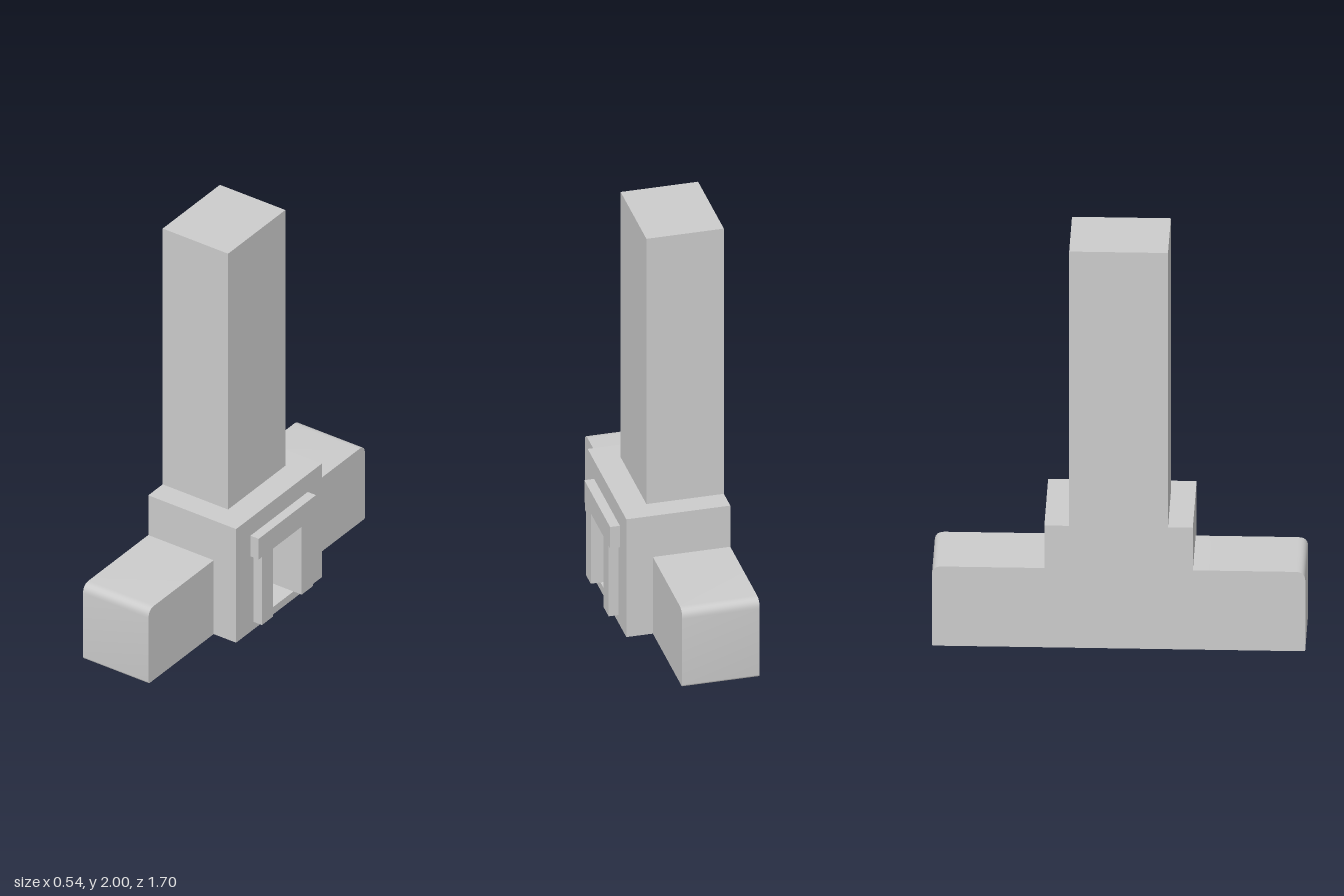
import * as THREE from 'three';
import { toCreasedNormals } from 'three/addons/utils/BufferGeometryUtils.js';

const BACK = -0.27;

export function createModel() {
  const model = new THREE.Group();
  const material = new THREE.MeshStandardMaterial({ color: 0xcccccc });

  const add = (name, geometry) => {
    const mesh = new THREE.Mesh(geometry, material);
    mesh.name = name;
    model.add(mesh);
    return mesh;
  };

  // Box given by its limits on each axis
  const box = (name, x0, x1, y0, y1, z0, z1) =>
    add(name, new THREE.BoxGeometry(x1 - x0, y1 - y0, z1 - z0)
      .translate((x0 + x1) / 2, (y0 + y1) / 2, (z0 + z1) / 2));

  // Side outline (horizontal = -z, vertical = y) extruded along x
  const slab = (name, shape, x0, x1) => {
    const geometry = new THREE.ExtrudeGeometry(shape, { depth: x1 - x0, bevelEnabled: false, curveSegments: 6 });
    geometry.rotateY(Math.PI / 2).translate(x0, 0, 0);
    return add(name, toCreasedNormals(geometry, 0.6));
  };

  // Tall tower
  box('tower', BACK, 0.095, 0.615, 2, -0.225, 0.225);

  // Central block: solid rear, front pierced by the doorway recess
  box('centralBlockRear', BACK, 0, 0, 0.615, -0.338, 0.338);
  const front = new THREE.Shape();
  front.moveTo(-0.338, 0).lineTo(0.338, 0).lineTo(0.338, 0.615).lineTo(-0.338, 0.615).closePath();
  const opening = new THREE.Path();
  opening.moveTo(-0.113, 0.04).lineTo(-0.113, 0.408).lineTo(0.113, 0.408).lineTo(0.113, 0.04).closePath();
  front.holes.push(opening);
  slab('centralBlockFront', front, 0, 0.22);

  // Low side wings with softened outer ends
  for (const s of [1, -1]) {
    const wing = new THREE.Shape();
    wing.moveTo(s * 0.338, 0).lineTo(s * 0.84, 0);
    wing.quadraticCurveTo(s * 0.85, 0, s * 0.85, 0.01);
    wing.lineTo(s * 0.85, 0.355);
    wing.quadraticCurveTo(s * 0.85, 0.4, s * 0.805, 0.4);
    wing.lineTo(s * 0.338, 0.4).closePath();
    slab(s > 0 ? 'rearWing' : 'frontWing', wing, BACK, 0.095);
  }

  // Raised door frame: two jambs under a wider lintel
  for (const s of [1, -1]) {
    const z = [s * 0.113, s * 0.2].sort((a, b) => a - b);
    box(s > 0 ? 'frontDoorJamb' : 'rearDoorJamb', 0.22, 0.266, 0.04, 0.408, z[0], z[1]);
  }
  box('doorLintel', 0.22, 0.266, 0.408, 0.52, -0.225, 0.225);

  return model;
}
